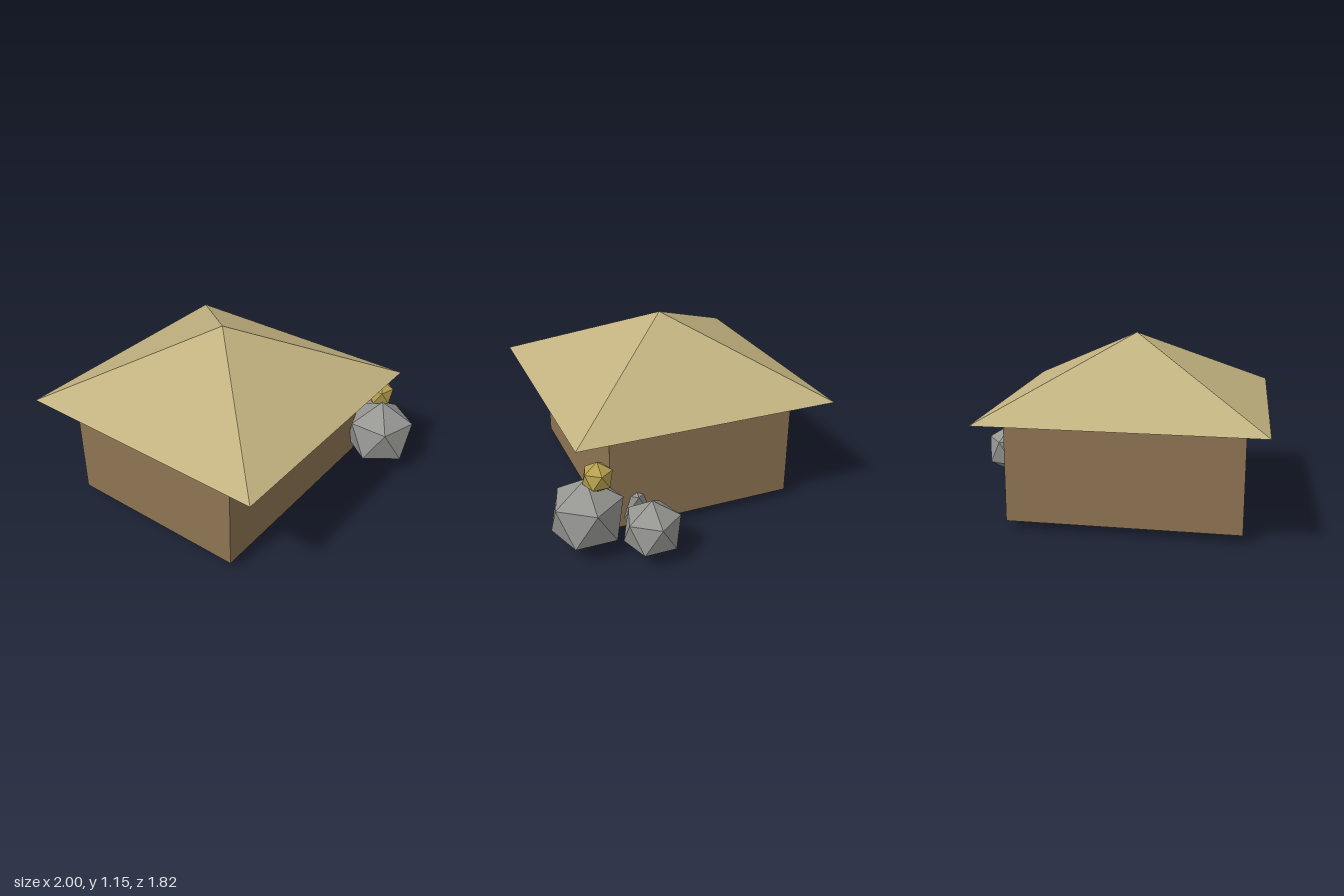
import * as THREE from 'three';

const material = (name, color) => {
  const m = new THREE.MeshStandardMaterial({ color, flatShading: true });
  m.name = name;
  return m;
};

export function createModel() {
  const wallBrown = material('wall brown', 0x8f7554);
  const thatch = material('thatch', 0xc2b280);
  const stone = material('stone grey', 0x969693);
  const gold = material('gold', 0xb8a24f);

  const model = new THREE.Group();
  model.name = 'hut';

  const add = (name, geometry, mat, x, y, z) => {
    const mesh = new THREE.Mesh(geometry, mat);
    mesh.name = name;
    mesh.position.set(x, y, z);
    model.add(mesh);
  };

  // Closed box of walls
  add('walls', new THREE.BoxGeometry(1.43, 0.655, 1.21), wallBrown, -0.157, 0.3825, -0.065);

  // Square pyramid roof with a closed underside
  const roof = new THREE.ConeGeometry(0.842 * Math.SQRT2, 0.438, 4);
  roof.rotateY(Math.PI / 4);
  add('roof', roof, thatch, -0.157, 0.929, -0.065);

  // Twenty-sided boulder standing on a corner, one upper corner towards +x
  const boulder = (r) => {
    const g = new THREE.IcosahedronGeometry(r, 0);
    g.rotateZ(-Math.atan2(1, (1 + Math.sqrt(5)) / 2)); // brings a corner straight up
    // Turn the ring so that its upper corner lies on +x
    const p = g.attributes.position;
    let ringX = 0;
    for (let i = 0; i < p.count; i++) {
      if (Math.abs(p.getZ(i)) < r * 0.01 && Math.abs(p.getY(i) - r * 0.447) < r * 0.02) ringX = p.getX(i);
    }
    if (ringX < 0) g.rotateY(Math.PI);
    return g;
  };

  // Boulders at the corner, one of them sunk in the wall, and the gold nugget
  [
    ['largeBoulder', 0.2415, stone, 0.61, 0.2415, 0.705],
    ['mediumBoulder', 0.187, stone, 0.832, 0.2, 0.38],
    ['sunkenBoulder', 0.163, stone, 0.442, 0.185, 0.37],
    ['goldNugget', 0.0985, gold, 0.665, 0.513, 0.65],
  ].forEach(([name, r, mat, x, y, z]) => add(name, boulder(r), mat, x, y, z));

  return model;
}
